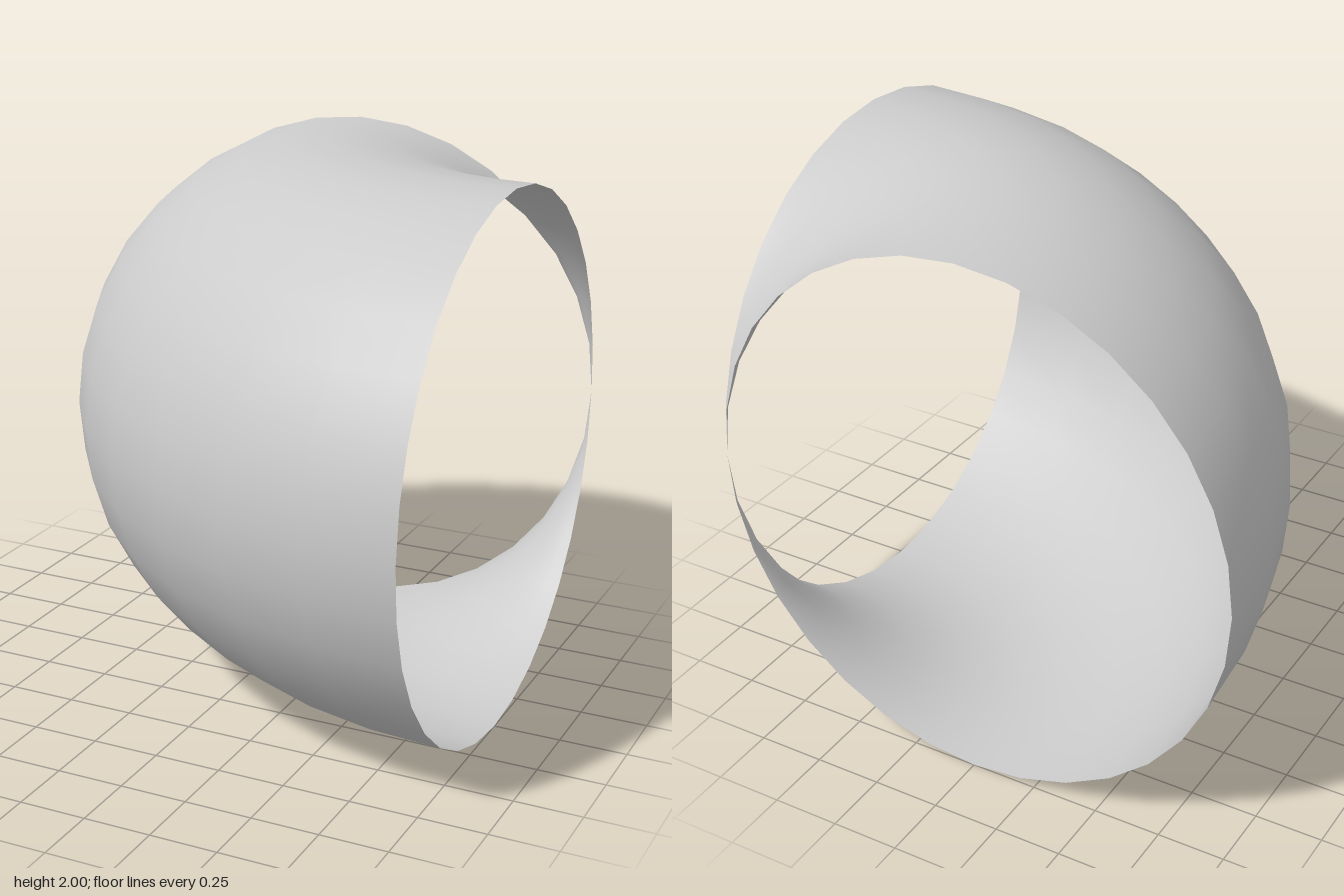
import * as THREE from 'three';

// Open quarter-turn pipe elbow: the bend radius equals the pipe radius,
// so the inner side of the bend pinches to a single point.
export function createModel() {
  const group = new THREE.Group();
  group.name = 'pipeElbow';

  const radius = 1;
  const geometry = new THREE.TorusGeometry(radius, radius, 32, 9, Math.PI / 2);
  geometry.rotateX(Math.PI / 2);  // lay the bend flat
  geometry.rotateY(-Math.PI / 2); // open ends face +x and -z
  geometry.translate(1, 1, -1);   // bend centre at the right back corner

  const material = new THREE.MeshStandardMaterial({ color: 0xcccccc, side: THREE.DoubleSide });
  const elbow = new THREE.Mesh(geometry, material);
  elbow.name = 'elbowShell';
  group.add(elbow);
  return group;
}
